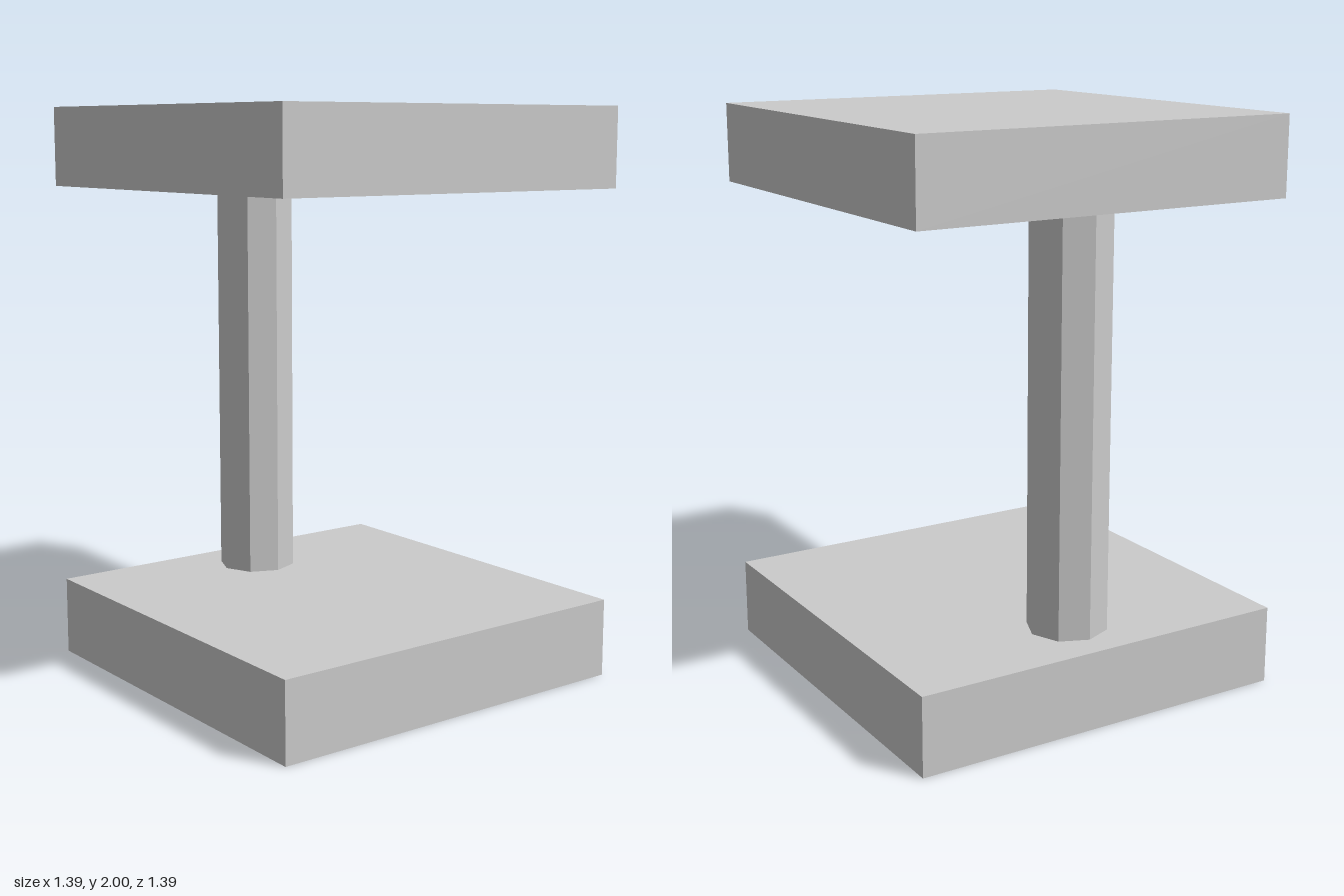
import * as THREE from 'three';

export function createModel() {
  const group = new THREE.Group();
  const material = new THREE.MeshStandardMaterial({ color: 0xcccccc, flatShading: true });
  const height = 2, width = 1.39, slab = 0.277;

  const add = (name, geometry, x, y) => {
    const mesh = new THREE.Mesh(geometry, material);
    mesh.name = name;
    mesh.position.set(x, y, 0);
    group.add(mesh);
  };

  // Matching square slabs at the bottom and top
  const slabGeometry = new THREE.BoxGeometry(width, slab, width);
  add('baseSlab', slabGeometry, 0, slab / 2);
  add('topSlab', slabGeometry, 0, height - slab / 2);

  // Off-centre octagonal column between the slabs
  add('column', new THREE.CylinderGeometry(0.14, 0.14, height - 2 * slab, 8), -0.46, height / 2);

  return group;
}
